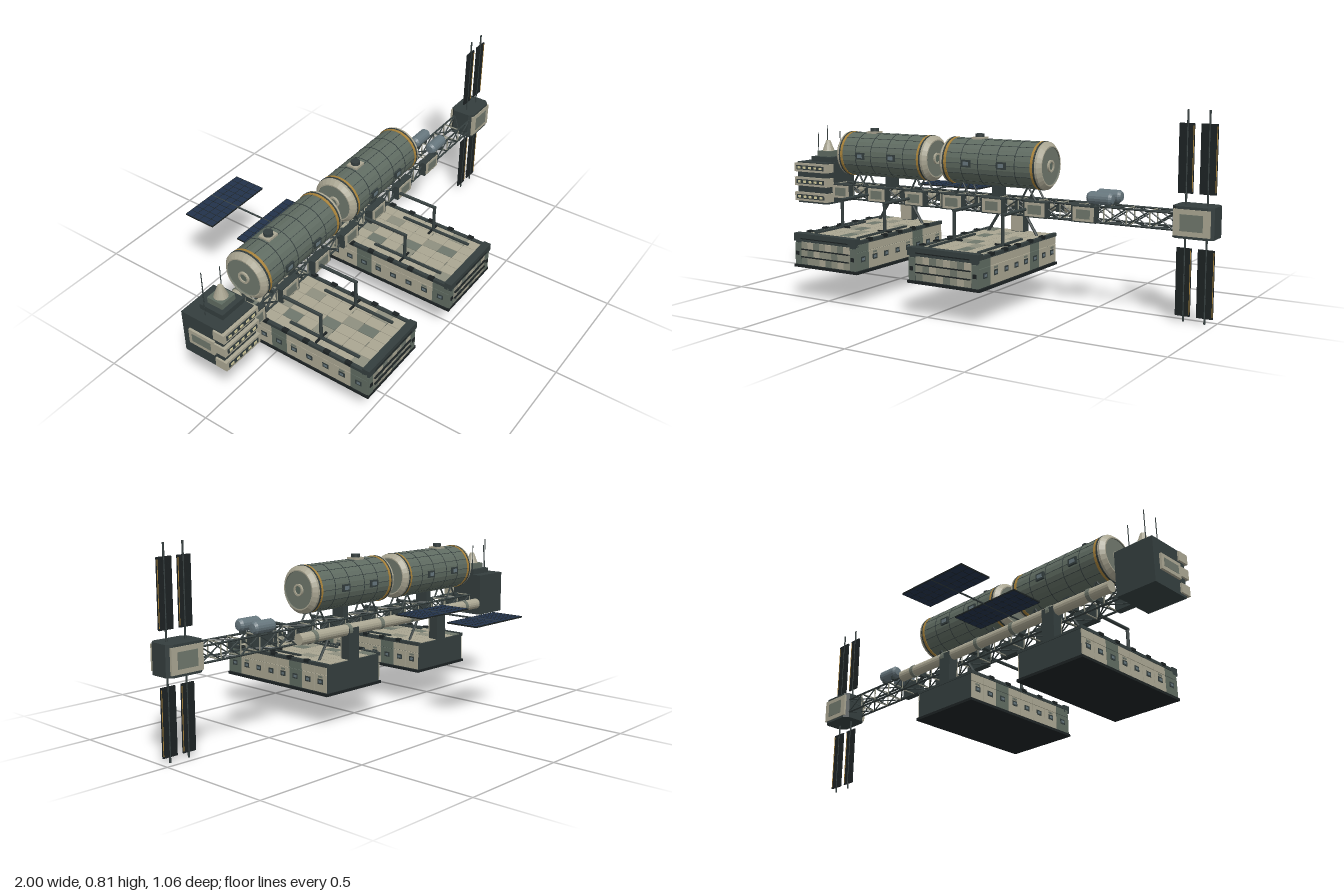
import * as THREE from 'three';

const mat = (color) => new THREE.MeshStandardMaterial({ color, flatShading: true });
const M = {
  hull: mat(0x5f6b61), olive: mat(0x6f776c), cream: mat(0xaaa692), pale: mat(0x8f9080),
  dark: mat(0x343e3e), black: mat(0x1c2223), blue: mat(0x22324a), gold: mat(0xa8823a),
  steel: mat(0x66767d), lamp: mat(0xd8d0a0),
};
const V = (x, y, z) => new THREE.Vector3(x, y, z);

function add(parent, name, geo, material) {
  const m = new THREE.Mesh(geo, material);
  m.name = name;
  parent.add(m);
  return m;
}
function group(parent, name, x = 0, y = 0, z = 0) {
  const g = new THREE.Group();
  g.name = name;
  g.position.set(x, y, z);
  parent.add(g);
  return g;
}
// Box given by its limits on each axis
function box(p, name, m, x0, x1, y0, y1, z0, z1) {
  const b = add(p, name, new THREE.BoxGeometry(x1 - x0, y1 - y0, z1 - z0), m);
  b.position.set((x0 + x1) / 2, (y0 + y1) / 2, (z0 + z1) / 2);
  return b;
}
// Round bar between two points
function bar(p, name, m, a, b, r, sides = 6, r2 = r) {
  const d = b.clone().sub(a);
  const c = add(p, name, new THREE.CylinderGeometry(r2, r, d.length(), sides), m);
  c.position.copy(a).addScaledVector(d, 0.5);
  c.quaternion.setFromUnitVectors(V(0, 1, 0), d.normalize());
  return c;
}
// Lathe turned to lie along x; profile points are [radius, x]
function turned(p, name, m, pts, sides) {
  const l = add(p, name, new THREE.LatheGeometry(pts.map(([r, x]) => new THREE.Vector2(r, x)), sides), m);
  l.rotation.z = -Math.PI / 2;
  return l;
}

function pressureTank(root, cx) {
  const t = group(root, 'pressureTank', cx, 0.567, 0.037);
  turned(t, 'tankShell', M.hull, [[0.098, -0.215], [0.098, 0.215]], 28);
  for (const s of [-1, 1]) {
    const cap = group(t, 'tankEnd');
    if (s < 0) cap.rotation.y = Math.PI;
    turned(cap, 'endRing', M.cream, [[0.099, 0.222], [0.099, 0.232], [0.083, 0.2475], [0.078, 0.2475]], 28);
    turned(cap, 'endPlate', M.olive, [[0.078, 0.2475], [0.078, 0.242], [0.0, 0.242]], 28);
    turned(cap, 'portRing', M.cream, [[0.025, 0.24], [0.025, 0.25], [0.017, 0.25], [0.017, 0.242]], 20);
    turned(cap, 'port', M.hull, [[0.017, 0.245], [0, 0.245]], 20);
    turned(cap, 'goldBand', M.gold, [[0.098, 0.203], [0.1, 0.203], [0.1, 0.215], [0.098, 0.215]], 28);
    turned(cap, 'endSeam', M.dark, [[0.098, 0.215], [0.101, 0.215], [0.101, 0.222], [0.098, 0.222]], 28);
  }
  // Plate seams around and along the shell
  for (const x of [-0.13, -0.045, 0.045, 0.13])
    turned(t, 'ringSeam', M.dark, [[0.098, x - 0.0015], [0.0992, x - 0.0015], [0.0992, x + 0.0015], [0.098, x + 0.0015]], 28);
  for (let i = 0; i < 14; i++) {
    const a = (i + 0.5) / 14 * Math.PI * 2;
    const s = add(t, 'longSeam', new THREE.BoxGeometry(0.406, 0.002, 0.002), M.dark);
    s.position.set(0, Math.cos(a) * 0.098, Math.sin(a) * 0.098);
    s.rotation.x = a;
  }
  // Portholes and roof hatch
  for (const s of [-1, 1]) for (const x of [-0.1, 0.07]) {
    box(t, 'windowFrame', M.dark, x - 0.021, x + 0.021, -0.015, 0.015, s * 0.1 - 0.005, s * 0.1 + 0.005);
    box(t, 'windowPane', M.steel, x - 0.013, x + 0.013, -0.008, 0.008, s * 0.1 - 0.006, s * 0.1 + 0.006);
  }
  box(t, 'hatchBase', M.cream, -0.122, -0.068, 0.09, 0.104, -0.024, 0.024);
  bar(t, 'hatch', M.dark, V(-0.095, 0.1, 0), V(-0.095, 0.118, 0), 0.019, 12);
  // Pylon and splayed legs to the truss
  box(t, 'pylon', M.dark, -0.016, 0.016, -0.145, -0.09, -0.03, 0.03);
  for (const s of [-1, 1]) for (const z of [-0.035, 0.035]) {
    bar(t, 'tankLeg', M.dark, V(s * 0.16, -0.085, z), V(s * 0.195, -0.142, z), 0.004);
    bar(t, 'tankLeg', M.dark, V(s * 0.16, -0.085, z), V(s * 0.13, -0.142, z), 0.004);
  }
}

function cargoModule(root, cx) {
  const c = group(root, 'cargoModule', cx, 0, 0);
  box(c, 'underside', M.black, -0.167, 0.167, 0.135, 0.146, -0.088, 0.527);
  box(c, 'body', M.dark, -0.158, 0.158, 0.146, 0.258, -0.082, 0.52);
  // Side wall panels with windows
  const cuts = [-0.082, -0.012, 0.062, 0.137, 0.21, 0.288, 0.365, 0.442, 0.52];
  for (const s of [-1, 1]) for (let i = 0; i < 8; i++) {
    const z0 = cuts[i] + 0.001, z1 = cuts[i + 1] - 0.001, zc = (z0 + z1) / 2, x = s * 0.16;
    box(c, 'sidePanel', i === 2 || i === 7 ? M.hull : M.cream, x - 0.003, x + 0.003, 0.149, 0.222, z0, z1);
    box(c, 'upperPanel', i === 2 || i === 7 ? M.hull : M.cream, x - 0.003, x + 0.003, 0.224, 0.256, z0, z1);
    box(c, 'windowFrame', M.dark, x - 0.005, x + 0.005, 0.182, 0.204, zc - 0.014, zc + 0.014);
    box(c, 'windowPane', M.steel, x - 0.006, x + 0.006, 0.188, 0.198, zc - 0.008, zc + 0.008);
    if (i % 3 === 0) box(c, 'vent', M.olive, x - 0.005, x + 0.005, 0.209, 0.217, zc - 0.012, zc + 0.012);
  }
  // Tiled roof between dark edge rails
  box(c, 'roof', M.dark, -0.162, 0.162, 0.256, 0.264, -0.085, 0.522);
  for (let i = 0; i < 6; i++) for (let j = 0; j < 8; j++) {
    const x = -0.147 + i * 0.049, z = -0.078 + j * 0.073;
    const m = (i * 5 + j * 3) % 11 === 0 ? M.olive : (i * 3 + j) % 7 === 0 ? M.pale : M.cream;
    box(c, 'roofTile', m, x + 0.001, x + 0.048, 0.26, 0.267, z + 0.001, z + 0.072);
  }
  for (const s of [-1, 1]) {
    box(c, 'edgeRail', M.dark, s * 0.157 - 0.008, s * 0.157 + 0.008, 0.256, 0.27, -0.085, 0.5);
    for (let j = 0; j < 5; j++)
      box(c, 'railClamp', M.black, s * 0.16 - 0.009, s * 0.16 + 0.009, 0.262, 0.275, 0.02 + j * 0.1, 0.045 + j * 0.1);
    box(c, 'roofRail', M.dark, s * 0.113 - 0.006, s * 0.113 + 0.006, 0.264, 0.274, 0.12, 0.45);
    box(c, 'crossClamp', M.black, s * 0.113 - 0.035, s * 0.113 + 0.035, 0.266, 0.274, 0.266, 0.274);
    // Bent support arm from truss to roof
    const arm = (a, b) => bar(c, 'supportArm', M.dark, a, b, 0.007, 8);
    arm(V(s * 0.115, 0.265, 0.272), V(s * 0.115, 0.392, 0.272));
    arm(V(s * 0.115, 0.39, 0.278), V(s * 0.115, 0.39, 0.06));
    bar(c, 'diagonalStrut', M.dark, V(s * 0.12, 0.265, 0.003), V(s * 0.055, 0.365, 0.003), 0.006);
  }
  // Front wall: brow, tiled face, side lamps and slats
  box(c, 'frontBrow', M.dark, -0.163, 0.163, 0.246, 0.279, 0.497, 0.53);
  for (let i = 0; i < 8; i++) for (let j = 0; j < 3; j++) {
    const x = -0.128 + i * 0.032, y = 0.149 + j * 0.032;
    const m = (i * 3 + j * 5) % 4 === 0 ? M.olive : (i + j) % 3 ? M.pale : M.cream;
    box(c, 'frontTile', m, x + 0.001, x + 0.031, y, y + 0.03, 0.515, 0.525);
  }
  for (const s of [-1, 1]) {
    box(c, 'frontPost', M.hull, s * 0.146 - 0.014, s * 0.146 + 0.014, 0.148, 0.238, 0.515, 0.526);
    box(c, 'frontLamp', M.black, s * 0.146 - 0.008, s * 0.146 + 0.008, 0.187, 0.203, 0.52, 0.529);
  }
  for (const y of [0.181, 0.213, 0.258]) box(c, 'frontSlat', M.black, -0.125, 0.125, y - 0.002, y + 0.002, 0.52, 0.532);
  // Rear docking column
  box(c, 'dockingColumn', M.dark, -0.03, 0.03, 0.264, 0.4, -0.084, -0.04);
  box(c, 'columnFace', M.cream, -0.028, 0.028, 0.27, 0.36, -0.042, -0.034);
}

function truss(root) {
  const t = group(root, 'truss');
  const [y0, y1, z0, z1] = [0.36, 0.424, -0.008, 0.07];
  for (const y of [y0, y1]) for (const z of [z0, z1]) bar(t, 'longeron', M.dark, V(-0.82, y, z), V(0.85, y, z), 0.0045);
  const n = 17, w = 1.65 / n;
  for (let i = 0; i < n; i++) {
    const a = -0.81 + i * w, b = a + w, [l, r] = i % 2 ? [a, b] : [b, a];
    for (const z of [z0, z1]) {
      bar(t, 'post', M.pale, V(a, y0, z), V(a, y1, z), 0.003, 5);
      bar(t, 'brace', M.dark, V(a, y0, z), V(b, y1, z), 0.003, 5);
      bar(t, 'brace', M.dark, V(a, y1, z), V(b, y0, z), 0.003, 5);
    }
    for (const y of [y0, y1]) {
      bar(t, 'crossBar', M.pale, V(a, y, z0), V(a, y, z1), 0.003, 5);
      bar(t, 'brace', M.dark, V(l, y, z0), V(r, y, z1), 0.003, 5);
    }
  }
  // Equipment boxes on the front of the truss
  for (const x of [-0.765, -0.56, -0.355, -0.155, 0.045, 0.25, 0.47]) {
    box(t, 'equipmentBox', M.dark, x - 0.054, x + 0.054, 0.358, 0.425, 0.06, 0.092);
    box(t, 'equipmentPanel', M.cream, x - 0.046, x + 0.046, 0.363, 0.42, 0.085, 0.095);
    box(t, 'equipmentCover', M.olive, x - 0.03, x + 0.03, 0.373, 0.41, 0.09, 0.098);
  }
  // Transfer pipe along the back
  bar(t, 'transferPipe', M.cream, V(-0.79, 0.39, -0.06), V(0.39, 0.39, -0.06), 0.024, 16);
  for (let x = -0.7; x < 0.39; x += 0.2) {
    bar(t, 'pipeCollar', M.olive, V(x, 0.39, -0.06), V(x + 0.018, 0.39, -0.06), 0.027, 16);
    box(t, 'pipeBracket', M.dark, x, x + 0.018, 0.375, 0.405, -0.045, 0);
  }
  // Paired small fuel tanks
  for (const z of [-0.012, 0.072]) {
    const f = group(t, 'fuelTank', 0.535, 0.458, z);
    turned(f, 'fuelShell', M.steel, [[0, -0.056], [0.018, -0.054], [0.026, -0.043], [0.026, 0.043], [0.018, 0.054], [0, 0.056]], 16);
    for (const x of [-0.03, 0.03]) box(f, 'saddle', M.dark, x - 0.005, x + 0.005, -0.036, -0.015, -0.016, 0.016);
  }
}

function commandModule(root) {
  const c = group(root, 'commandModule');
  box(c, 'hull', M.dark, -0.99, -0.815, 0.332, 0.522, -0.065, 0.128);
  // Window decks, lit at the front
  for (const y of [0.362, 0.432, 0.497]) {
    box(c, 'deckBand', M.cream, -0.998, -0.808, y - 0.02, y + 0.02, 0.09, 0.142);
    box(c, 'windowStrip', M.dark, -0.985, -0.822, y - 0.01, y + 0.01, 0.138, 0.144);
    for (let i = 0; i < 5; i++) box(c, 'litWindow', M.lamp, -0.976 + i * 0.032, -0.96 + i * 0.032, y - 0.005, y + 0.005, 0.14, 0.146);
  }
  box(c, 'sidePanel', M.cream, -1, -0.985, 0.395, 0.46, -0.03, 0.09);
  box(c, 'sideScreen', M.olive, -1, -0.992, 0.41, 0.445, -0.015, 0.075).position.x -= 0.001;
  box(c, 'roofStep', M.dark, -0.94, -0.822, 0.52, 0.545, -0.02, 0.09);
  box(c, 'roofStep', M.hull, -0.918, -0.846, 0.545, 0.57, 0, 0.07);
  bar(c, 'sensorCone', M.cream, V(-0.882, 0.57, 0.035), V(-0.882, 0.618, 0.035), 0.028, 16, 0.01);
  for (const [x, h, z] of [[-0.955, 0.65, 0.02], [-0.925, 0.685, -0.01], [-0.84, 0.66, 0.0]])
    bar(c, 'antenna', M.dark, V(x, 0.52, z), V(x, h, z), 0.002, 5);
}

// Thin solar wing with cell lines, lying flat in its own xy plane
function solarWing(parent, x, y, z, w, h, m, cols, rows) {
  const g = group(parent, 'solarWing', x, y, z);
  box(g, 'cells', m, -w / 2, w / 2, -h / 2, h / 2, -0.0025, 0.0025);
  for (let i = 0; i <= cols; i++) box(g, 'cellLine', M.black, -0.001 + (i / cols - 0.5) * w, 0.001 + (i / cols - 0.5) * w, -h / 2, h / 2, -0.003, 0.003);
  for (let j = 0; j <= rows; j++) box(g, 'cellLine', M.black, -w / 2, w / 2, -0.001 + (j / rows - 0.5) * h, 0.001 + (j / rows - 0.5) * h, -0.003, 0.003);
  return g;
}

function powerHub(root) {
  const h = group(root, 'powerHub');
  const s = new THREE.Shape([[0.835, -0.01], [0.855, -0.03], [0.98, -0.03], [1, -0.01], [1, 0.068], [0.98, 0.088], [0.855, 0.088], [0.835, 0.068]]
    .map(([x, z]) => new THREE.Vector2(x, -z)));
  const body = add(h, 'hubBody', new THREE.ExtrudeGeometry(s, { depth: 0.122, bevelEnabled: false }), M.dark);
  body.rotation.x = -Math.PI / 2;
  body.position.y = 0.333;
  for (const [z, d] of [[0.086, 1], [-0.028, -1]]) {
    box(h, 'hubPanel', M.cream, 0.845, 0.99, 0.343, 0.445, z - 0.005, z + 0.005);
    box(h, 'hubScreen', M.olive, 0.872, 0.963, 0.362, 0.426, z + d * 0.003 - 0.004, z + d * 0.003 + 0.004);
  }
  for (const [mx, px, w] of [[0.874, 0.871, 0.058], [0.96, 0.96, 0.064]]) {
    bar(h, 'solarMast', M.dark, V(mx, 0, 0.035), V(mx, 0.815, 0.035), 0.004);
    for (const y of [0.155, 0.631]) {
      solarWing(h, px, y, 0.035, w, 0.264, M.black, 3, 10);
      box(h, 'wingEdge', M.gold, px + w / 2 - 0.003, px + w / 2, y - 0.125, y + 0.125, 0.031, 0.039);
    }
  }
}

export function createModel() {
  const root = new THREE.Group();
  root.name = 'spaceStation';
  truss(root);
  for (const x of [-0.5125, 0.0475]) pressureTank(root, x);
  for (const x of [-0.4925, 0.0925]) cargoModule(root, x);
  commandModule(root);
  powerHub(root);
  // Rear solar array lying flat
  const rear = group(root, 'rearSolarArray');
  bar(rear, 'arrayMast', M.dark, V(-0.31, 0.425, 0), V(-0.31, 0.425, -0.53), 0.004);
  for (const z of [-0.178, -0.458]) solarWing(rear, -0.31, 0.425, z, 0.325, 0.146, M.blue, 10, 4).rotation.x = -Math.PI / 2;
  return root;
}
